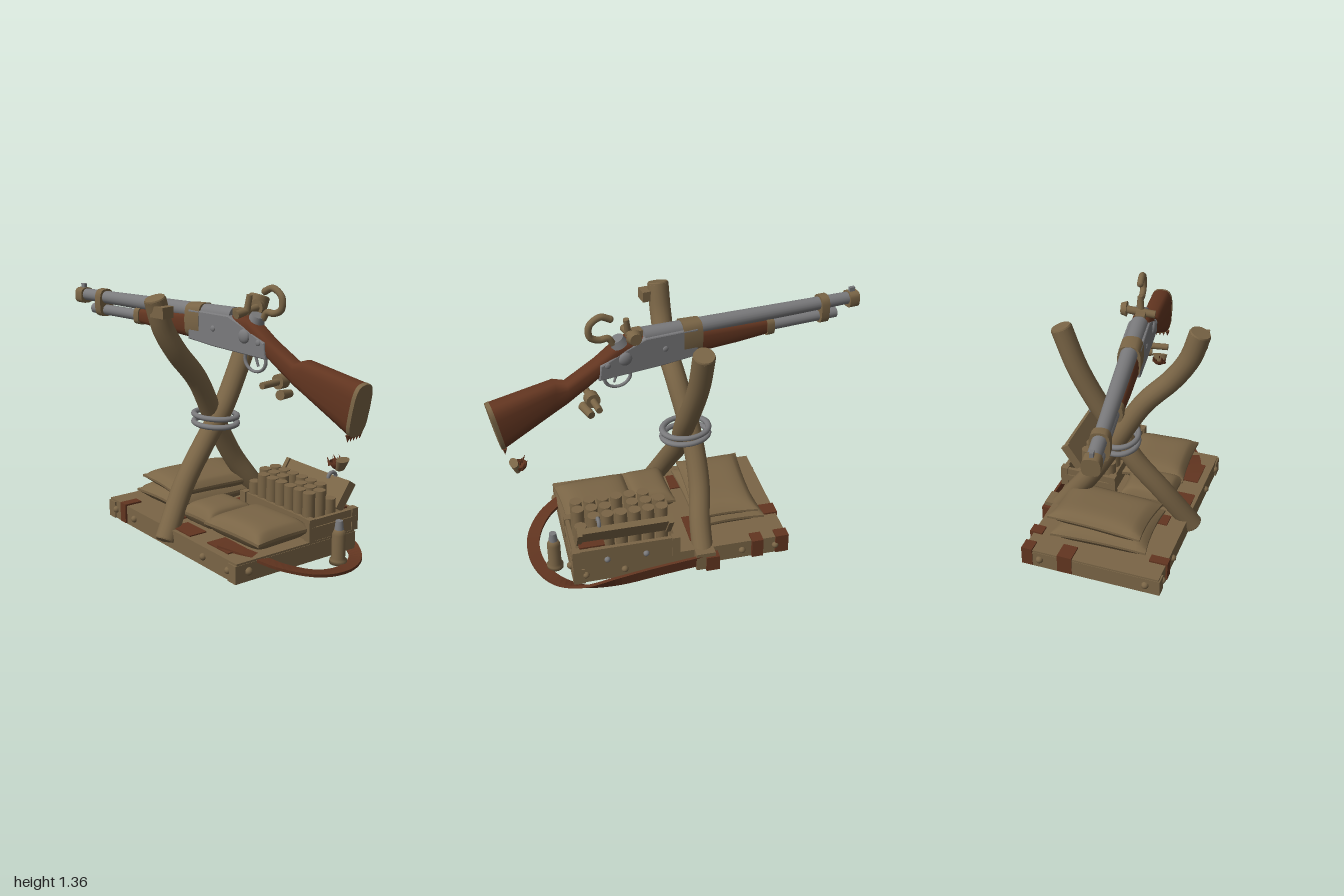
import * as THREE from 'three';

const V = (x, y, z) => new THREE.Vector3(x, y, z);
const mat = (name, color, side = THREE.FrontSide) => Object.assign(new THREE.MeshStandardMaterial({ color, side }), { name });

export function createModel() {
  const root = new THREE.Group();
  root.name = 'rifleDisplay';
  const tan = mat('weathered tan', 0x7a6546);
  const brown = mat('brown wood and leather', 0x623520, THREE.DoubleSide);
  const steel = mat('grey steel', 0x7a7a7c);

  const add = (parent, name, geo, m, x = 0, y = 0, z = 0, rx = 0, ry = 0, rz = 0) => {
    const mesh = new THREE.Mesh(geo, m);
    mesh.name = name;
    mesh.position.set(x, y, z);
    mesh.rotation.set(rx, ry, rz);
    parent.add(mesh);
    return mesh;
  };
  const box = (w, h, d) => new THREE.BoxGeometry(w, h, d);
  // cylinder between two points
  const rod = (parent, name, a, b, r1, r2, m, sides = 18) => {
    const d = b.clone().sub(a);
    const mesh = add(parent, name, new THREE.CylinderGeometry(r2, r1, d.length(), sides), m);
    mesh.position.copy(a).addScaledVector(d, 0.5);
    mesh.quaternion.setFromUnitVectors(V(0, 1, 0), d.normalize());
    return mesh;
  };
  // loft of rounded sections along z; station = [zTop, yTop, zBottom, yBottom, halfWidth]
  const loft = (stations, n = 20) => {
    const pos = [], idx = [];
    const soft = t => Math.sign(t) * Math.abs(t) ** 0.65;
    const last = stations.length - 1;
    stations.forEach(([zt, yt, zb, yb, hw]) => {
      for (let j = 0; j < n; j++) {
        const a = j / n * Math.PI * 2, k = (soft(Math.sin(a)) + 1) / 2;
        pos.push(soft(Math.cos(a)) * hw, yb + (yt - yb) * k, zb + (zt - zb) * k);
      }
    });
    for (let i = 0; i < last; i++) for (let j = 0; j < n; j++) {
      const a = i * n + j, b = i * n + (j + 1) % n;
      idx.push(a, b, a + n, b, b + n, a + n);
    }
    for (const i of [0, last]) { // flat ends with their own corners
      const start = pos.length / 3;
      pos.push(...pos.slice(i * n * 3, (i + 1) * n * 3));
      for (let j = 1; j < n - 1; j++) idx.push(start, start + (i ? j : j + 1), start + (i ? j + 1 : j));
    }
    const g = new THREE.BufferGeometry();
    g.setAttribute('position', new THREE.Float32BufferAttribute(pos, 3));
    g.setIndex(idx);
    g.computeVertexNormals();
    return g;
  };

  // ---- base slab and everything lying square to it
  const base = new THREE.Group();
  base.name = 'base';
  base.position.z = 0.105;
  base.rotation.y = -0.16;
  root.add(base);
  add(base, 'slab', box(0.74, 0.1, 1.125), tan, 0, 0.09, 0);
  for (const s of [-1, 1]) {
    add(base, 'edgeBoard', box(0.755, 0.09, 0.06), tan, 0, 0.085, s * 0.535);
    for (const t of [-0.3, 0.28]) add(base, 'endBolt', new THREE.SphereGeometry(0.02, 12, 8), tan, t, 0.09, s * 0.565);
    for (const t of [-0.5, -0.32, 0.3, 0.5]) add(base, 'sideBolt', new THREE.SphereGeometry(0.018, 12, 8), tan, s * 0.372, 0.09, t);
  }
  // leather straps folded over the slab edges
  const wraps = [[0.355, -0.4, 0.07, 0.06], [0.14, -0.52, 0.08, 0.1], [-0.33, -0.42, 0.1, 0.05], [0.35, -0.535, 0.06, 0.07]];
  for (const [x, z, w, d] of wraps) add(base, 'leatherWrap', box(w, 0.104, d), brown, x, 0.097, z);
  // worn patches on the top
  for (const [x, z, w, d] of [[-0.275, 0.36, 0.11, 0.17], [-0.3, 0.08, 0.1, 0.16], [0.2, -0.1, 0.2, 0.08], [-0.22, -0.1, 0.12, 0.08]]) {
    add(base, 'wornPatch', box(w, 0.006, d), brown, x, 0.143, z);
  }

  // ---- sandbags: a pillow that thins towards its edges
  const bag = (w, h, d) => {
    const g = new THREE.BoxGeometry(2, 2, 2, 18, 2, 18), p = g.attributes.position;
    for (let i = 0; i < p.count; i++) {
      const u = p.getX(i), v = p.getZ(i), y = p.getY(i);
      const puff = Math.max(0.12, (Math.max(0, 1 - u ** 4) * Math.max(0, 1 - v ** 4)) ** 0.45);
      p.setXYZ(i, u * w / 2 * (1 - 0.06 * (1 - v * v)), y * h / 2 * puff, v * d / 2 * (1 - 0.06 * (1 - u * u)));
    }
    g.computeVertexNormals();
    return g;
  };
  add(base, 'backLowerSandbag', bag(0.52, 0.11, 0.37), tan, 0, 0.195, -0.28, 0, 0.03);
  add(base, 'backUpperSandbag', bag(0.52, 0.1, 0.34), tan, 0.02, 0.262, -0.27, 0.04, -0.05);
  add(base, 'frontSandbag', bag(0.35, 0.12, 0.4), tan, -0.085, 0.2, 0.36, 0, 0.06);
  add(base, 'middleSandbag', bag(0.3, 0.12, 0.24), tan, -0.12, 0.2, 0.08, 0, 0.05);

  // ---- ammunition box
  const crate = new THREE.Group();
  crate.name = 'ammunitionBox';
  crate.position.set(0.232, 0.14, 0.29);
  base.add(crate);
  add(crate, 'floor', box(0.28, 0.02, 0.52), tan, 0, 0.01, 0);
  for (const s of [-1, 1]) {
    add(crate, 'sideWall', box(0.02, 0.11, 0.52), tan, s * 0.14, 0.055, 0);
    add(crate, 'endWall', box(0.28, 0.11, 0.02), tan, 0, 0.055, s * 0.26);
    for (const t of [-1, 1]) add(crate, 'cornerPost', box(0.04, 0.115, 0.04), tan, s * 0.14, 0.057, t * 0.255);
    add(crate, 'clasp', new THREE.SphereGeometry(0.016, 12, 8), steel, 0.152, 0.04, s * 0.1);
    add(crate, 'endBatten', box(0.29, 0.025, 0.012), tan, 0, 0.06, s * 0.27);
  }
  add(crate, 'leatherPad', box(0.05, 0.008, 0.13), brown, 0.1, 0.112, 0.17);
  const lid = new THREE.Group();
  lid.name = 'openLid';
  lid.position.set(0.105, 0.175, 0);
  lid.rotation.z = -0.6;
  crate.add(lid);
  add(lid, 'lidPanel', box(0.03, 0.15, 0.48), tan);
  for (const s of [-1, 1]) add(lid, 'lidRim', box(0.05, 0.15, 0.025), tan, 0, 0, s * 0.23);
  add(lid, 'latch', new THREE.TorusGeometry(0.025, 0.01, 8, 14, Math.PI), steel, -0.035, 0.06, 0.13, 0, 0, 0.6);
  for (let i = 0; i < 3; i++) for (let j = 0; j < 7; j++) {
    const h = (i * 5 + j * 3) % 7 === 0 ? 0.16 : 0.215;
    add(crate, 'cartridge', new THREE.CylinderGeometry(0.031, 0.031, h, 14), tan, -0.112 + i * 0.068, 0.015 + h / 2, -0.21 + j * 0.07);
  }

  // ---- loose standing cartridge
  add(root, 'looseCartridge', new THREE.LatheGeometry([[0, 0], [0.043, 0], [0.043, 0.02], [0.034, 0.03], [0.034, 0.15], [0.024, 0.175], [0, 0.175]].map(p => new THREE.Vector2(...p)), 18), tan, 0.095, 0.03, 0.765);
  add(root, 'bulletTip', new THREE.CylinderGeometry(0.018, 0.024, 0.05, 14), steel, 0.095, 0.225, 0.765);

  // ---- crossed logs
  const log = (name, points) => {
    const c = new THREE.CatmullRomCurve3(points.map(p => V(...p)));
    add(root, name, new THREE.TubeGeometry(c, 40, 0.055, 16), tan);
    for (const t of [0, 1]) {
      const e = c.getPoint(t), d = c.getTangent(t).multiplyScalar(t ? 0.006 : -0.006);
      rod(root, name + 'End', e.clone().sub(d), e.clone().add(d), 0.055, 0.05, tan, 16);
    }
  };
  log('logRisingLeft', [[-0.38, 0.08, 0.04], [-0.21, 0.325, 0], [-0.06, 0.51, -0.005], [0.05, 0.68, 0.02], [0.145, 0.84, 0.02], [0.235, 1.02, 0.02], [0.315, 1.235, 0.03]]);
  log('logRisingRight', [[0.38, 0.07, 0.05], [0.27, 0.23, 0.025], [0.165, 0.39, -0.015], [0.04, 0.61, -0.025], [-0.11, 0.86, -0.005], [-0.255, 1.02, 0], [-0.335, 1.15, -0.01], [-0.38, 1.295, -0.015]]);
  add(root, 'logBranchStub', box(0.07, 0.055, 0.09), tan, -0.382, 1.24, 0.035);
  add(root, 'logFoot', box(0.09, 0.1, 0.1), tan, 0.385, 0.09, 0.05, 0, -0.16);
  add(root, 'footStrap', box(0.05, 0.085, 0.07), brown, 0.42, 0.075, 0.02, 0, -0.16);
  for (const [y, tilt] of [[0.61, 0.02], [0.65, -0.02]]) {
    const ring = add(root, 'bindingRing', new THREE.TorusGeometry(0.1, 0.014, 10, 40), steel, 0.018, y, 0, Math.PI / 2, tilt);
    ring.scale.y = 1.22;
  }

  // ---- leather sling on the ground; its width turns from flat to upright
  const path = new THREE.CatmullRomCurve3([[-0.35, 0.15, 0.4], [-0.325, 0.14, 0.55], [-0.26, 0.1, 0.71], [-0.13, 0.06, 0.815], [0.04, 0.035, 0.84], [0.2, 0.028, 0.79], [0.305, 0.035, 0.68], [0.355, 0.055, 0.52], [0.385, 0.075, 0.3], [0.42, 0.095, 0.03]].map(p => V(...p)));
  const sp = [], si = [], steps = 48;
  for (let i = 0; i <= steps; i++) {
    const t = i / steps, p = path.getPoint(t), d = path.getTangent(t);
    const out = d.clone().cross(V(0, 1, 0)).normalize();
    const turn = THREE.MathUtils.smoothstep(t, 0.5, 0.85) * 1.4;
    const w = out.clone().multiplyScalar(Math.cos(turn)).addScaledVector(V(0, 1, 0), Math.sin(turn));
    const n = w.clone().cross(d).normalize();
    for (const [a, b] of [[-1, -1], [1, -1], [1, 1], [-1, 1]]) sp.push(...p.clone().addScaledVector(w, a * 0.033).addScaledVector(n, b * 0.007).toArray());
    if (i < steps) for (let j = 0; j < 4; j++) {
      const a = i * 4 + j, b = i * 4 + (j + 1) % 4;
      si.push(a, a + 4, b, b, a + 4, b + 4);
    }
  }
  const ribbon = new THREE.BufferGeometry();
  ribbon.setAttribute('position', new THREE.Float32BufferAttribute(sp, 3));
  ribbon.setIndex(si);
  const slingGeo = ribbon.toNonIndexed();
  slingGeo.computeVertexNormals();
  add(root, 'sling', slingGeo, brown);

  // ---- rifle, butt towards the front
  const rifle = new THREE.Group();
  rifle.name = 'rifle';
  rifle.position.x = -0.048;
  root.add(rifle);
  add(rifle, 'stock', loft([[0.18, 1.205, 0.22, 1.13, 0.05], [0.3, 1.215, 0.41, 1.05, 0.054], [0.44, 1.12, 0.5, 0.985, 0.045], [0.6, 1.03, 0.61, 0.915, 0.045], [0.66, 1.05, 0.68, 0.88, 0.053], [0.98, 0.995, 0.93, 0.745, 0.064]]), brown);
  add(rifle, 'buttPlate', loft([[0.98, 0.997, 0.93, 0.74, 0.065], [1, 0.992, 0.95, 0.74, 0.065]]), tan);
  add(rifle, 'foreStock', loft([[-0.5, 1.155, -0.5, 1.08, 0.04], [-0.3, 1.17, -0.3, 1.065, 0.047], [-0.06, 1.19, -0.06, 1.055, 0.05]]), brown);
  const side = new THREE.Shape([[0.44, 1.03], [0.1, 1.045], [-0.07, 1.06], [-0.07, 1.2], [0.2, 1.2], [0.3, 1.16], [0.43, 1.1]].map(p => new THREE.Vector2(...p)));
  add(rifle, 'receiver', new THREE.ExtrudeGeometry(side, { depth: 0.09, bevelSize: 0.006, bevelThickness: 0.01, bevelSegments: 2 }), steel, 0.045, 0, 0, 0, -Math.PI / 2);
  rod(rifle, 'barrel', V(0, 1.196, 0.2), V(0, 1.178, -0.98), 0.046, 0.032, steel, 20);
  rod(rifle, 'magazineTube', V(0, 1.115, -0.45), V(0, 1.11, -0.88), 0.03, 0.028, steel);
  add(rifle, 'receiverBand', loft([[-0.1, 1.235, -0.1, 1.06, 0.058], [0, 1.24, 0, 1.06, 0.058]]), tan);
  add(rifle, 'foreBand', loft([[-0.505, 1.16, -0.505, 1.07, 0.045], [-0.465, 1.165, -0.465, 1.07, 0.047]]), tan);
  add(rifle, 'barrelBand', loft([[-0.82, 1.225, -0.82, 1.075, 0.048], [-0.775, 1.225, -0.775, 1.075, 0.048]]), tan);
  add(rifle, 'muzzleBand', loft([[-1, 1.215, -1, 1.13, 0.042], [-0.945, 1.215, -0.945, 1.13, 0.042]]), tan);
  add(rifle, 'frontSight', box(0.018, 0.03, 0.03), steel, 0, 1.222, -0.97);
  add(rifle, 'rearSight', box(0.05, 0.03, 0.05), tan, 0, 1.225, 0.23);
  add(rifle, 'triggerGuard', new THREE.TorusGeometry(0.068, 0.009, 8, 28), steel, 0, 1.0, 0.335, 0, Math.PI / 2).scale.y = 0.85;
  rod(rifle, 'trigger', V(0, 1.04, 0.33), V(0, 0.97, 0.355), 0.009, 0.006, steel, 8);
  for (const s of [-1, 1]) for (const [y, z, r] of [[1.12, 0.31, 0.035], [1.13, 0.1, 0.015], [1.1, 0.4, 0.015]]) {
    add(rifle, 'receiverPin', new THREE.SphereGeometry(r, 14, 10), steel, s * 0.055, y, z).scale.x = 0.5;
  }
  // hammer, its seat and the cross screw
  const hook = new THREE.CatmullRomCurve3([[0.36, 1.2], [0.385, 1.235], [0.43, 1.235], [0.475, 1.26], [0.475, 1.32], [0.42, 1.355], [0.37, 1.335]].map(([z, y]) => V(0.025, y, z)));
  add(rifle, 'hammerHook', new THREE.TubeGeometry(hook, 40, 0.017, 10), tan);
  add(rifle, 'hammerTip', new THREE.SphereGeometry(0.018, 10, 8), tan, 0.025, 1.335, 0.37);
  add(rifle, 'hammerSeat', new THREE.CylinderGeometry(0.035, 0.045, 0.04, 18), steel, 0.012, 1.2, 0.33, 0.4);
  rod(rifle, 'crossScrew', V(-0.07, 1.22, 0.27), V(0.1, 1.24, 0.27), 0.02, 0.02, tan, 12);
  add(rifle, 'screwHead', new THREE.CylinderGeometry(0.04, 0.03, 0.03, 14), tan, 0.09, 1.24, 0.27, 0, 0, Math.PI / 2);
  rod(rifle, 'screwLever', V(0, 1.2, 0.27), V(0.01, 1.31, 0.285), 0.018, 0.015, tan, 10);

  // ---- loose pieces hanging under the grip
  rod(root, 'loosePin', V(-0.16, 0.915, 0.48), V(0.09, 0.915, 0.48), 0.017, 0.017, tan, 12);
  rod(root, 'loosePinCollar', V(-0.05, 0.915, 0.48), V(0.0, 0.915, 0.48), 0.037, 0.037, tan, 14);
  rod(root, 'looseScrew', V(-0.07, 0.86, 0.515), V(0.02, 0.85, 0.5), 0.025, 0.02, tan, 12);

  // ---- splintered toe of the butt
  add(root, 'brokenToe', new THREE.SphereGeometry(0.04, 14, 6, 0, Math.PI * 2, Math.PI / 2, Math.PI / 2), brown, -0.06, 0.61, 0.865);
  add(root, 'brokenToePlate', new THREE.CylinderGeometry(0.043, 0.03, 0.05, 14), tan, -0.06, 0.598, 0.885, 0.3).scale.z = 0.5;
  for (let i = 0; i < 5; i++) {
    add(root, 'toeSplinter', new THREE.ConeGeometry(0.01, 0.045, 5), brown, -0.092 + i * 0.016, 0.612, 0.835 + (i % 3) * 0.018, -0.5);
    add(rifle, 'buttSplinter', new THREE.ConeGeometry(0.013, 0.035, 5), brown, -0.045 + i * 0.022, 0.738, 0.94, Math.PI);
  }
  return root;
}
